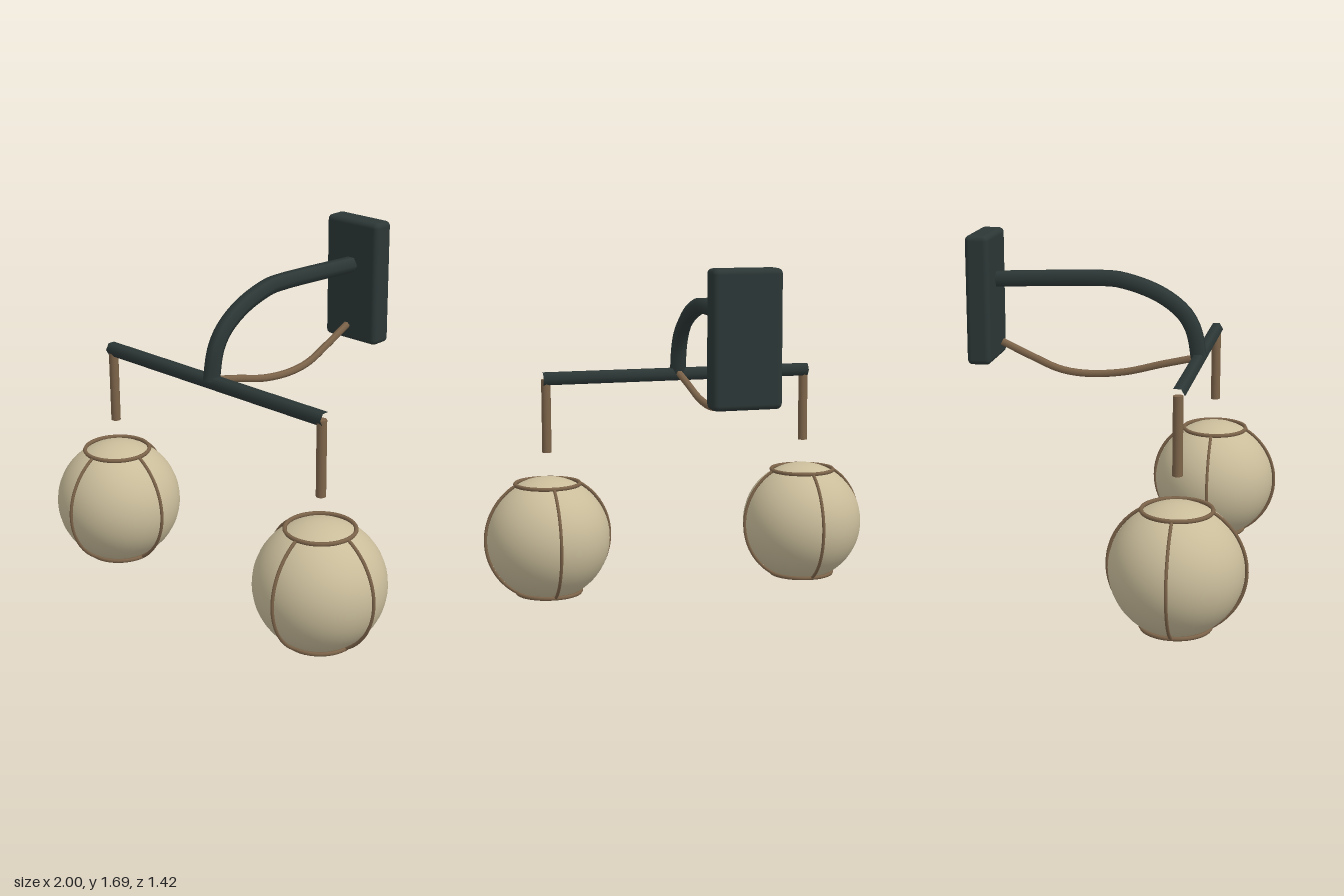
import * as THREE from 'three';
import { RoundedBoxGeometry } from 'three/addons/geometries/RoundedBoxGeometry.js';

const material = (name, color) => {
  const m = new THREE.MeshStandardMaterial({ color });
  m.name = name;
  return m;
};

export function createModel() {
  const iron = material('dark iron', 0x2c3736);
  const bronze = material('bronze', 0x7d644a);
  const glass = material('cream glass', 0xcabd9b);

  const model = new THREE.Group();
  model.name = 'twinGlobeWallLamp';

  const add = (parent, name, geometry, mat, x = 0, y = 0, z = 0) => {
    const mesh = new THREE.Mesh(geometry, mat);
    mesh.name = name;
    mesh.position.set(x, y, z);
    parent.add(mesh);
    return mesh;
  };

  // Curve lying in the x = 0 plane, from [z, y] pairs
  const sideCurve = (points) =>
    new THREE.CatmullRomCurve3(points.map(([z, y]) => new THREE.Vector3(0, y, z)));

  // Wall plate
  add(model, 'wallPlate', new RoundedBoxGeometry(0.322, 0.62, 0.115, 3, 0.025), iron, 0, 1.38, -0.652);

  // Swan-neck arm (open six-sided tube)
  const armCurve = sideCurve([
    [0.385, 1.112], [0.357, 1.25], [0.305, 1.335], [0.185, 1.42],
    [0.005, 1.478], [-0.085, 1.483], [-0.6, 1.463],
  ]);
  add(model, 'arm', new THREE.TubeGeometry(armCurve, 32, 0.041, 6), iron);

  // Sagging cable under the arm
  const cableCurve = sideCurve([
    [0.35, 1.11], [0.205, 1.076], [0.027, 1.031], [-0.152, 1.015],
    [-0.287, 1.031], [-0.42, 1.085], [-0.574, 1.156],
  ]);
  add(model, 'cable', new THREE.TubeGeometry(cableCurve, 32, 0.018, 6), bronze);

  // Crossbar (open six-sided tube)
  const bar = new THREE.CylinderGeometry(0.035, 0.035, 1.385, 6, 1, true).rotateZ(Math.PI / 2);
  add(model, 'crossbar', bar, iron, 0, 1.107, 0.382);

  // Rib follows a circle just outside the globe, from lower ring to upper ring
  const ribRadius = 0.315;
  const ringRadius = 0.16;
  const ringHeight = 0.273;
  const ribEnd = Math.atan2(ringHeight, ringRadius);
  const ribGeometry = new THREE.TorusGeometry(ribRadius, 0.008, 6, 28, ribEnd * 2).rotateZ(-ribEnd);
  const ringGeometry = new THREE.TorusGeometry(ringRadius, 0.01, 6, 40).rotateX(Math.PI / 2);
  const globeGeometry = new THREE.SphereGeometry(0.307, 40, 28);
  const rodGeometry = new THREE.CylinderGeometry(0.0235, 0.0235, 0.363, 12);

  // Two hanging lanterns
  for (const side of [-1, 1]) {
    const lantern = new THREE.Group();
    lantern.name = side > 0 ? 'leftLantern' : 'rightLantern';
    lantern.position.set(side * 0.675, 0.31, 0.385);
    model.add(lantern);

    add(lantern, 'hangingRod', rodGeometry, bronze, 0, 0.612, 0);
    add(lantern, 'globe', globeGeometry, glass);
    add(lantern, 'upperRing', ringGeometry, bronze, 0, ringHeight, 0);
    add(lantern, 'lowerRing', ringGeometry, bronze, 0, -ringHeight, 0);
    for (let i = 0; i < 4; i++) {
      add(lantern, 'rib', ribGeometry, bronze).rotation.y = (i * Math.PI) / 2;
    }
  }

  return model;
}
